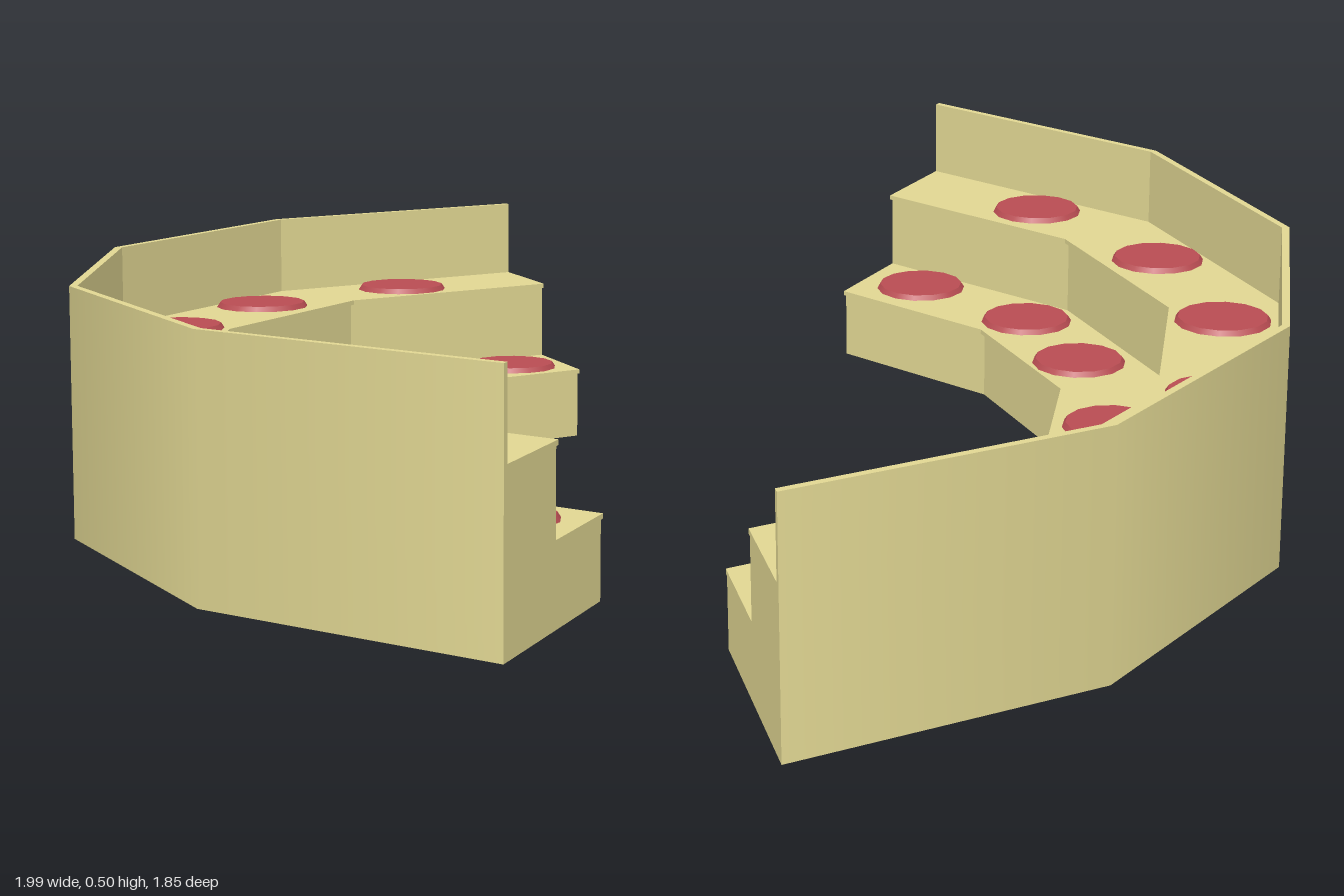
import * as THREE from 'three';

// Bench plan as [x, z]: back edge and front edge, from one end to the other
const BACK = [[-0.92, 0.92], [-1, 0.26], [-0.77, -0.35], [-0.28, -0.78], [0.35, -0.93], [0.99, -0.77]];
const FRONT = [[-0.46, 0.75], [-0.51, 0.33], [-0.37, -0.07], [-0.05, -0.34], [0.35, -0.44], [0.765, -0.34]];
const CENTRE = [0.37, 0.47]; // centre of the arc
const WALL = 0.033, MID = 0.525, OVERHANG = 0.022; // fractions of the depth

const UPPER_PADS = [[-0.85, 0.5], [-0.785, 0.045], [-0.58, -0.34], [-0.23, -0.64], [0.14, -0.76], [0.575, -0.735]];
const LOWER_PADS = [[-0.615, 0.65], [-0.63, 0.305], [-0.52, 0.025], [-0.29, -0.3], [0.04, -0.485], [0.355, -0.555], [0.69, -0.485]];

// Polyline at fraction t of the way from back edge to front edge
const row = (t) => BACK.map(([x, z], i) => new THREE.Vector2(
  x + (FRONT[i][0] - x) * t, -(z + (FRONT[i][1] - z) * t)));

// Curved slab between two depth fractions and two heights
function slab(t0, t1, y0, y1) {
  const shape = new THREE.Shape([...row(t0), ...row(t1).reverse()]);
  const geo = new THREE.ExtrudeGeometry(shape, { depth: y1 - y0, bevelEnabled: false });
  return geo.rotateX(-Math.PI / 2).translate(0, y0, 0);
}

// Smooth the outward faces of the back wall around the arc
function smoothOutside(geo) {
  const p = geo.attributes.position, n = geo.attributes.normal;
  for (let i = 0; i < p.count; i++) {
    const d = new THREE.Vector3(p.getX(i) - CENTRE[0], 0, p.getZ(i) - CENTRE[1]).normalize();
    const facing = d.x * n.getX(i) + d.z * n.getZ(i);
    if (facing > 0.8) n.setXYZ(i, d.x, 0, d.z);
  }
  return geo;
}

export function createModel() {
  const model = new THREE.Group();
  model.name = 'curvedTieredBench';
  const cream = new THREE.MeshStandardMaterial({ color: 0xe0d692 });
  const red = new THREE.MeshStandardMaterial({ color: 0xb84c52 });

  const add = (name, geo, mat) => {
    const mesh = new THREE.Mesh(geo, mat);
    mesh.name = name;
    model.add(mesh);
    return mesh;
  };

  // Back wall, two tiers and their thin overhanging seat boards
  add('backWall', smoothOutside(slab(0, WALL, 0, 0.505)), cream);
  add('lowerTier', slab(WALL, 1 - OVERHANG, 0, 0.15), cream);
  add('lowerSeatBoard', slab(WALL, 1, 0.15, 0.16), cream);
  add('upperTier', slab(WALL, MID - OVERHANG, 0.16, 0.325), cream);
  add('upperSeatBoard', slab(WALL, MID, 0.325, 0.335), cream);

  // Round seat pads with a bevelled rim
  const pad = new THREE.CylinderGeometry(0.096, 0.104, 0.012, 14);
  const addPads = (name, spots, y) => spots.forEach(([x, z]) => {
    add(name, pad, red).position.set(x, y, z);
  });
  addPads('lowerSeatPad', LOWER_PADS, 0.165);
  addPads('upperSeatPad', UPPER_PADS, 0.34);

  return model;
}
